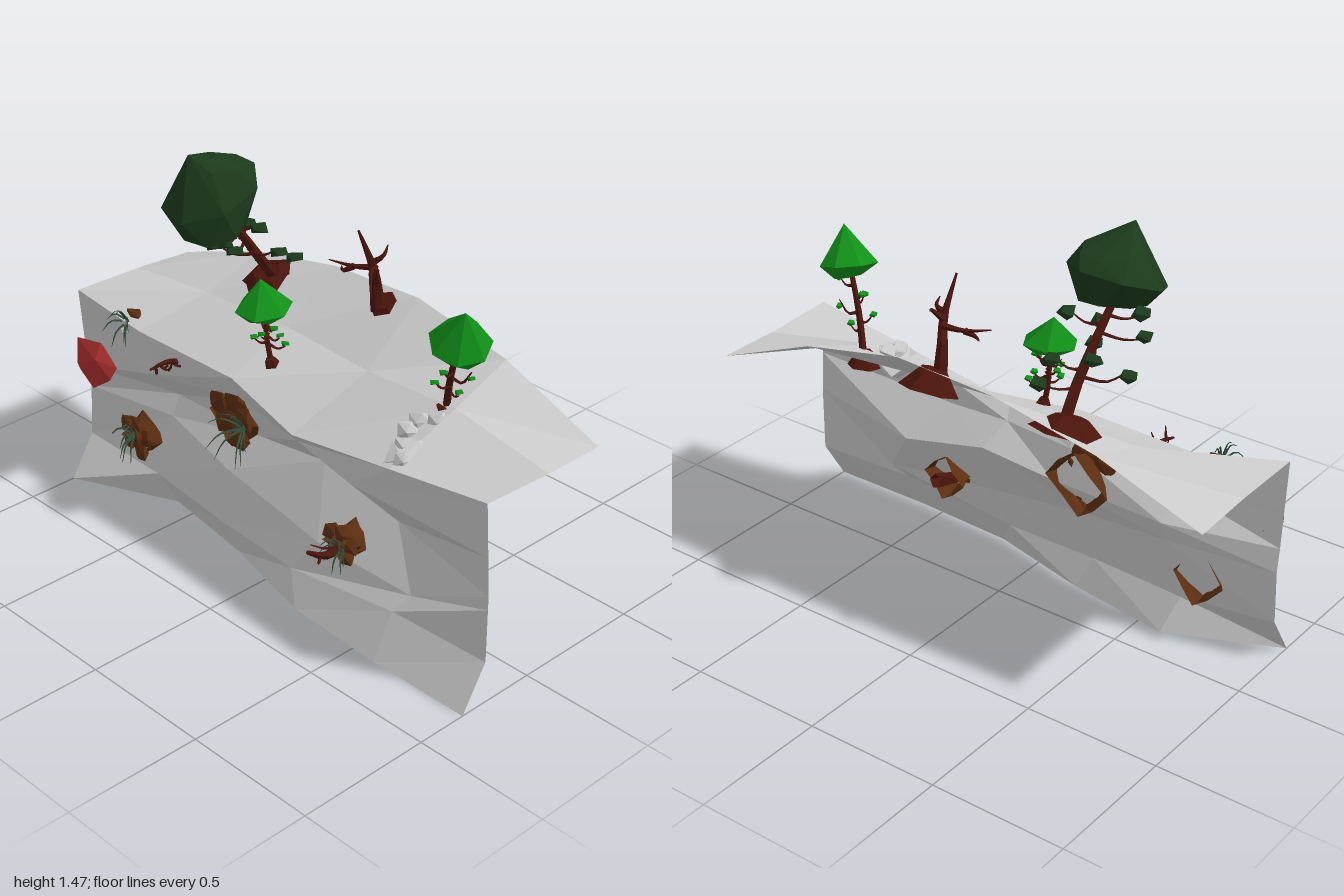
import * as THREE from 'three';
import { ConvexGeometry } from 'three/addons/geometries/ConvexGeometry.js';

const V = (a) => new THREE.Vector3(...a);
const GREY = 0xcccccc, BARK = 0x4a150c, EARTH = 0x5c2e12, PINE = 0x1c3a1c;
const LEAF = 0x109018, RED = 0xb03030, GRASS = 0x34503c;

let seed = 7;
const rnd = () => (seed = (seed * 16807) % 2147483647) / 2147483647;
const jit = (s) => (rnd() - 0.5) * 2 * s;

const mats = {};
function mesh(name, geo, color, parent) {
  mats[color] ??= new THREE.MeshStandardMaterial({ color, flatShading: true, side: THREE.DoubleSide });
  const m = new THREE.Mesh(geo, mats[color]);
  m.name = name;
  parent.add(m);
  return m;
}

// Tapered tube through a few points
function limb(name, pts, r0, r1, parent, color = BARK, sides = 5) {
  const curve = new THREE.CatmullRomCurve3(pts.map(V));
  const n = pts.length > 2 ? 6 : 2;
  const geo = new THREE.TubeGeometry(curve, n, 1, sides);
  const p = geo.attributes.position, v = new THREE.Vector3();
  for (let i = 0; i < p.count; i++) {
    const t = Math.floor(i / (sides + 1)) / n, c = curve.getPointAt(t);
    v.fromBufferAttribute(p, i).sub(c).multiplyScalar(r0 + (r1 - r0) * t).add(c);
    p.setXYZ(i, v.x, v.y, v.z);
  }
  return mesh(name, geo, color, parent);
}

// Faceted crown: convex hull of an apex and tilted rings [x, y, z, radius, slopeX, slopeZ]
function crown(name, apex, rings, sides, color, parent) {
  const pts = [V(apex)];
  rings.forEach(([x, y, z, r, sx, sz], k) => {
    for (let i = 0; i < sides; i++) {
      const a = ((i + k * 0.5) / sides) * Math.PI * 2;
      const dx = r * Math.cos(a), dz = r * Math.sin(a);
      pts.push(new THREE.Vector3(x + dx, y + dx * sx + dz * sz, z + dz));
    }
  });
  mesh(name, new ConvexGeometry(pts), color, parent);
}

// Irregular faceted stone
function rock(name, pos, size, color, parent, count = 13) {
  const pts = [];
  for (let i = 0; i < count; i++) {
    const h = 1 - (2 * i + 1) / count, a = i * 2.4 + jit(0.3), r = Math.sqrt(1 - h * h);
    const k = 0.97 + jit(0.14);
    pts.push(new THREE.Vector3(r * Math.cos(a) * size[0] * k, h * size[1] * k, r * Math.sin(a) * size[2] * k));
  }
  mesh(name, new ConvexGeometry(pts), color, parent).position.set(...pos);
}

// Soil cone at the foot of a tree, tilted along the slope
function mound(pos, r, h, tilt, parent, sides = 6) {
  const m = mesh('soilMound', new THREE.CylinderGeometry(r * 0.4, r, h, sides), BARK, parent);
  m.position.set(...pos);
  m.rotation.x = tilt;
}

// Crooked side twigs, each optionally ending in a leaf tuft
function twigs(base, top, count, from, to, len, leaf, parent) {
  for (let i = 0; i < count; i++) {
    const t = from + ((to - from) * i) / Math.max(1, count - 1);
    const s = V(base).lerp(V(top), t), a = i * 2.6 + jit(0.8), l = len * (0.7 + rnd() * 0.5);
    const dx = Math.cos(a) * l, dz = Math.sin(a) * l * 0.8;
    limb('twig', [s.toArray(), [s.x + dx * 0.5, s.y - 0.01, s.z + dz * 0.5],
      [s.x + dx, s.y + 0.02 + jit(0.02), s.z + dz]], 0.007, 0.002, parent, BARK, 4);
    if (leaf) rock('leafTuft', [s.x + dx, s.y + 0.015, s.z + dz],
      [len * 0.28, len * 0.2, len * 0.28], leaf, parent, 8);
  }
}

// Drooping blades fanning outwards
function grass(pos, count, len, parent) {
  for (let i = 0; i < count; i++) {
    const a = (i / count) * Math.PI * 2 + jit(0.3), l = len * (0.7 + rnd() * 0.4);
    const [x, y, z] = pos, dx = Math.cos(a) * l * 0.7, dy = Math.sin(a) * l * 0.7;
    limb('grassBlade', [pos, [x + dx * 0.6, y + dy * 0.6 + 0.015, z + l * 0.4],
      [x + dx, y + dy - 0.02, z + l * 0.6]], 0.006, 0.001, parent, GRASS, 3);
  }
}

// Open, ragged soil pocket whose square rim passes through the cliff
function pocket(x, y, z, w, h, d, tilt, parent) {
  const g = new THREE.Group();
  g.name = 'soilPocket';
  parent.add(g);
  const geo = new THREE.CylinderGeometry(0.7, 1, 1, 8, 2, true).rotateX(Math.PI / 2);
  const p = geo.attributes.position;
  for (let i = 0; i < p.count; i++) {
    const [px, py, pz] = [p.getX(i), p.getY(i), p.getZ(i)];
    const a = Math.atan2(py, px), odd = Math.abs(Math.sin(2 * a));
    const k = (1 - 0.25 * odd) * (1 + 0.1 * Math.sin(9 * px + 5 * py + 4 * pz));
    p.setXYZ(i, px * k, py * k, pz + 0.15 * Math.sin(7 * px - 4 * py));
  }
  const ring = mesh('pocketRim', geo, EARTH, g);
  ring.position.set(x, y, z);
  ring.scale.set(w, h, d);
  ring.rotation.x = tilt;
  // clods filling the mouth, heaviest at the upper left
  const clods = [[-.5, .4, .5], [.1, .55, .5], [.5, .15, .42], [-.1, 0, .5], [.25, -.45, .42], [-.4, -.25, .35]];
  clods.forEach(([cx, cy, r]) => rock('soilClod', [x + cx * w, y + cy * h, z + d * 0.4],
    [w * r, h * r, d * 0.3], EARTH, g, 10));
  return g;
}

// Folded sheet: cliff face below, sloping plateau above
function cliff(parent) {
  const rows = [
    { y: [0, 0, 0, 0, 0, 0], z: [.31, .13, .19, .29, .31, .31] },
    { x: [-1, -.64, -.25, .13, .6, 1], y: [.16, .13, .12, .11, .16, .16], z: [.21, .19, .225, .24, .225, .21] },
    { x: [-1, -.6, -.25, .23, .64, 1], y: [.36, .37, .32, .25, .22, .36], z: [.2, .14, .19, .21, .18, .21] },
    { x: [-1, -.6, -.15, .15, .5, 1], y: [.45, .45, .46, .49, .41, .41], z: [.21, .11, .11, .1, .1, .21] },
    { x: [-1, -.62, -.2, .1, .38, 1], y: [.58, .55, .59, .58, .55, .56], z: [.22, .19, .14, .18, .21, .22] },
    { x: [-1, -.7, -.2, .12, .58, 1], y: [.77, .7, .71, .63, .7, .765], z: [.235, .2, .205, .225, .23, .235] },
    { y: [.765, .81, .82, .8, .82, .75], z: [-.05, -.04, -.05, -.05, -.05, -.05] },
    { y: [.75, .89, .97, .99, .91, .75], z: [-.29, -.29, -.29, -.29, -.29, -.29] },
  ];
  const pos = [], idx = [];
  rows.forEach((r, j) => {
    for (let i = 0; i < 6; i++) {
      pos.push(r.x ? r.x[i] : -1 + 0.4 * i, r.y[i], r.z[i]);
      if (i < 5 && j < 7) {
        const a = j * 6 + i;
        idx.push(a, a + 1, a + 7, a, a + 7, a + 6);
      }
    }
  });
  const geo = new THREE.BufferGeometry();
  geo.setAttribute('position', new THREE.Float32BufferAttribute(pos, 3));
  geo.setIndex(idx);
  geo.computeVertexNormals();
  mesh('cliff', geo, GREY, parent);
}

export function createModel() {
  const model = new THREE.Group();
  const group = (name) => {
    const g = new THREE.Group();
    g.name = name;
    model.add(g);
    return g;
  };
  cliff(model);

  // Large dark tree leaning over the edge
  const big = group('largeTree');
  mound([-.42, .888, -.175], .135, .06, 0.42, big);
  limb('trunk', [[-.4, .88, -.19], [-.39, 1.0, -.1], [-.4, 1.12, -.02], [-.41, 1.25, .08]], .022, .013, big);
  crown('crown', [-.4, 1.47, .2], [[-.39, 1.41, .08, .105, 0, .05],
    [-.405, 1.31, .1, .17, .05, -.38], [-.37, 1.2, .12, .115, -.1, -.28]], 7, PINE, big);
  twigs([-.4, .88, -.17], [-.41, 1.25, .08], 9, .3, .85, .13, PINE, big);

  // Small tree in the middle
  const mid = group('middleTree');
  mound([-.12, .755, .09], .04, .05, 0.3, mid, 5);
  limb('trunk', [[-.12, .74, .09], [-.135, .85, .1], [-.13, 1.0, .11]], .011, .007, mid);
  crown('crown', [-.14, 1.08, .12], [[-.125, .98, .12, .1, 0, -.1], [-.12, .955, .12, .07, 0, -.1]], 6, LEAF, mid);
  twigs([-.12, .74, .09], [-.13, 1.0, .11], 9, .35, .8, .06, LEAF, mid);

  // Small tree leaning to its left
  const side = group('leaningTree');
  mound([.55, .785, -.055], .06, .06, 0.2, side);
  limb('trunk', [[.55, .79, -.06], [.59, .93, -.03], [.65, 1.09, 0]], .014, .009, side);
  crown('crown', [.7, 1.23, .03], [[.655, 1.1, 0, .105, -.25, -.2], [.66, 1.055, 0, .06, -.3, -.1]], 7, LEAF, side);
  twigs([.55, .79, -.06], [.65, 1.09, 0], 6, .3, .8, .06, LEAF, side);

  // Bare dead tree at the back
  const dead = group('deadTree');
  mound([.09, .925, -.25], .105, .08, 0.45, dead);
  limb('trunk', [[.08, .92, -.22], [.075, 1.02, -.21], [.1, 1.11, -.17], [.09, 1.26, -.11]], .028, .004, dead, BARK, 6);
  const bare = [
    [[.09, 1.1, -.19], [.02, 1.09, -.16], [-.06, 1.1, -.12]], [[.09, 1.1, -.19], [.14, 1.12, -.12], [.2, 1.07, -.06]],
    [[.09, 1.12, -.18], [.12, 1.15, -.2], [.1, 1.17, -.24]], [[.14, 1.11, -.12], [.16, 1.13, -.13], [.17, 1.15, -.1]],
    [[.02, 1.09, -.16], [-.01, 1.07, -.14], [-.04, 1.07, -.16]]];
  bare.forEach((b) => limb('branch', b, .013, .002, dead));

  // Red boulder on the cliff edge
  rock('redBoulder', [-.9, .52, .255], [.115, .1, .048], RED, model, 12);

  // Planted soil pockets in the face
  const p1 = pocket(-.27, .5, .115, .125, .14, .08, -.2, model);
  grass([-.19, .5, .16], 9, .15, p1);
  const p2 = pocket(-.73, .25, .18, .095, .1, .07, .2, model);
  grass([-.73, .27, .22], 12, .1, p2);
  const p3 = pocket(.34, .29, .165, .09, .085, .1, 0, model);
  grass([.35, .28, .21], 8, .09, p3);
  limb('root', [[.34, .3, .07], [.33, .27, .2], [.34, .28, .28], [.34, .33, .36]], .028, .008, p3);
  twigs([.34, .29, .15], [.34, .29, .32], 4, .2, .9, .09, 0, p3);

  // Little plants near the rim
  const rim = group('rimPlants');
  rock('soilClod', [-.77, .73, .16], [.045, .025, .035], EARTH, rim, 10);
  grass([-.77, .71, .19], 9, .1, rim);
  rock('pebble', [-.77, .68, .21], [.025, .02, .02], GREY, rim, 8);
  limb('root', [[-.5, .65, .18], [-.5, .67, .24], [-.51, .66, .31]], .014, .004, rim);
  twigs([-.5, .65, .19], [-.5, .66, .29], 4, .2, 1, .045, 0, rim);

  // Arc of grey stones by the leaning tree, with a larger one sunk below them
  const stones = group('stones');
  [[.57, .785, 0], [.52, .78, .04], [.52, .765, .09], [.55, .745, .14], [.59, .72, .18]].forEach((p, i) =>
    rock('stone', p, [.045 - .004 * i, .035, .04], GREY, stones, 9));
  rock('sunkenStone', [.56, .7, .11], [.09, .065, .1], GREY, stones, 13);
  return model;
}
